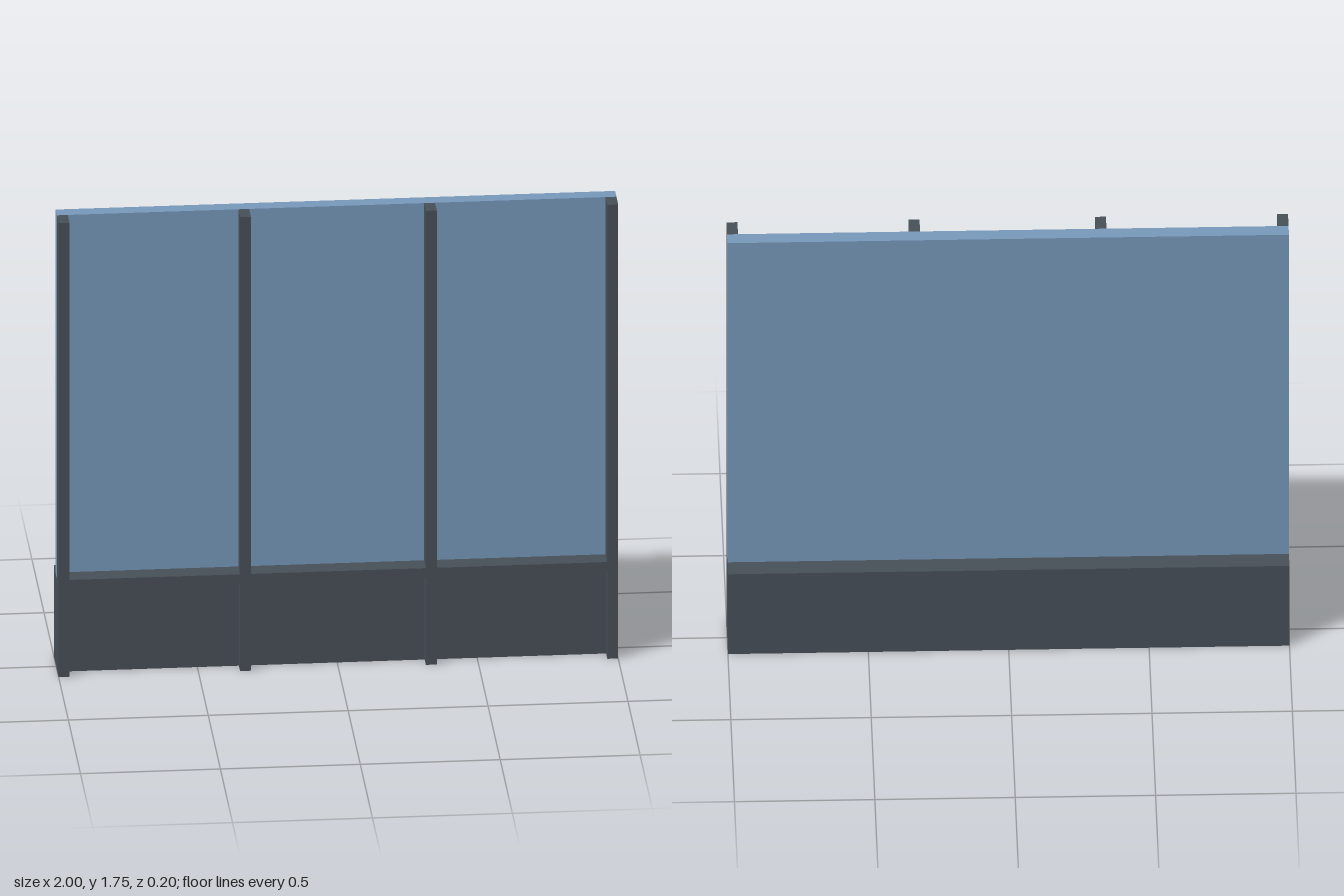
import * as THREE from 'three';

export function createModel() {
  const group = new THREE.Group();
  const frameGrey = new THREE.MeshStandardMaterial({ color: 0x485058 });
  frameGrey.name = 'frameGrey';
  const glassBlue = new THREE.MeshStandardMaterial({ color: 0x7899bc });
  glassBlue.name = 'glassBlue';

  // Adds a box given by its lower and upper limits on each axis
  function addBox(name, material, [x0, x1], [y0, y1], [z0, z1]) {
    const mesh = new THREE.Mesh(new THREE.BoxGeometry(x1 - x0, y1 - y0, z1 - z0), material);
    mesh.position.set((x0 + x1) / 2, (y0 + y1) / 2, (z0 + z1) / 2);
    mesh.name = name;
    group.add(mesh);
  }

  const height = 1.75, baseTop = 0.35;
  const front = 0.1, glassFront = 0.027, panelFront = 0.05;
  const postWidth = 0.039;

  // Solid base wall and the glass sheet standing on it
  addBox('baseWall', frameGrey, [-1, 1], [0, baseTop], [-front, panelFront]);
  addBox('glassSheet', glassBlue, [-1, 1], [baseTop, height], [-glassFront, glassFront]);

  // Four upright posts
  const centres = [-1 + postWidth / 2, -0.332, 0.332, 1 - postWidth / 2];
  centres.forEach((x, i) => {
    addBox(`post${i + 1}`, frameGrey, [x - postWidth / 2, x + postWidth / 2], [0, height], [glassFront, front]);
  });

  // Sill rail sections between neighbouring posts
  for (let i = 0; i < 3; i++) {
    addBox(`sillRail${i + 1}`, frameGrey,
      [centres[i] + postWidth / 2, centres[i + 1] - postWidth / 2], [0.335, 0.373], [glassFront, front]);
  }

  return group;
}
